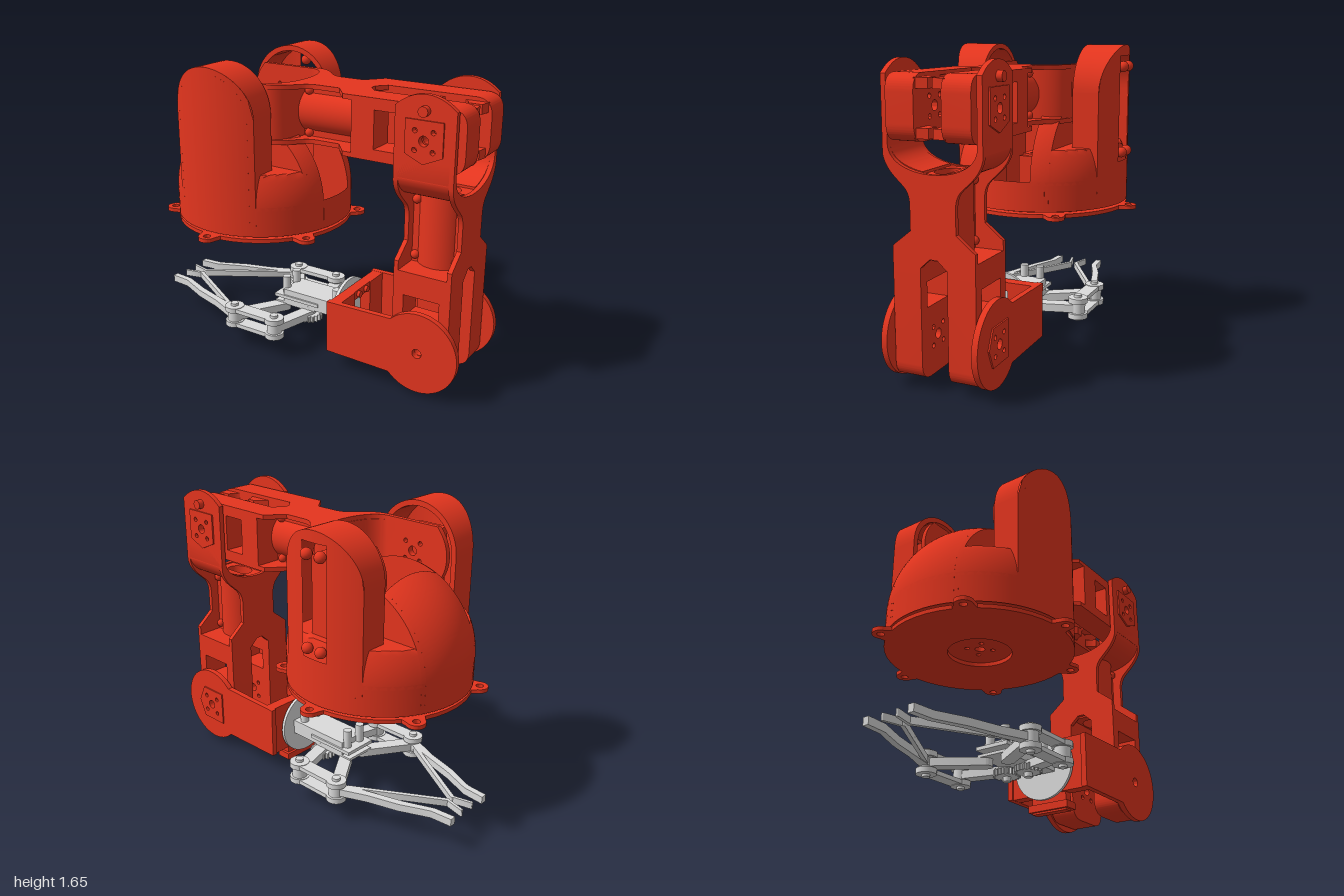
import * as THREE from 'three';
import { toCreasedNormals } from 'three/addons/utils/BufferGeometryUtils.js';
import { ParametricGeometry } from 'three/addons/geometries/ParametricGeometry.js';

const red = new THREE.MeshStandardMaterial({ color: 0xe5351e, side: THREE.DoubleSide });
red.name = 'red plastic';
const gray = new THREE.MeshStandardMaterial({ color: 0xdcdcdc, side: THREE.DoubleSide });
gray.name = 'gray plastic';

function add(parent, name, geo, mat = red, x = 0, y = 0, z = 0) {
  const m = new THREE.Mesh(geo, mat);
  m.name = name;
  m.position.set(x, y, z);
  parent.add(m);
  return m;
}
function group(parent, name, x = 0, y = 0, z = 0) {
  const g = new THREE.Group();
  g.name = name;
  g.position.set(x, y, z);
  parent.add(g);
  return g;
}
const box = (x0, x1, y0, y1, z0, z1) => new THREE.BoxGeometry(x1 - x0, y1 - y0, z1 - z0)
  .translate((x0 + x1) / 2, (y0 + y1) / 2, (z0 + z1) / 2);
const poly = pts => new THREE.Shape(pts.map(p => new THREE.Vector2(...p)));
const rect = (x0, x1, y0, y1) => poly([[x0, y0], [x1, y0], [x1, y1], [x0, y1]]);
const circle = (r, x = 0, y = 0) => new THREE.Shape().absarc(x, y, r, 0, Math.PI * 2);
const ellipse = (rx, ry) => new THREE.Shape().absellipse(0, 0, rx, ry, 0, Math.PI * 2);
const slab = (shape, d) => toCreasedNormals(
  new THREE.ExtrudeGeometry(shape, { depth: d, bevelEnabled: false, curveSegments: 24 }), 0.6);
// shape drawn in (z, y), (x, z) or (x, y), thick along the named axis
const slabX = (shape, x0, x1) => slab(shape, x1 - x0).rotateY(Math.PI / 2).translate(x0, 0, 0);
const slabY = (shape, y0, y1) => slab(shape, y1 - y0).rotateX(Math.PI / 2).translate(0, y1, 0);
const slabZ = (shape, z0, z1) => slab(shape, z1 - z0).translate(0, 0, z0);
const surface = (fn, nu, nv) => toCreasedNormals(
  new ParametricGeometry((u, v, t) => t.set(...fn(u, v)), nu, nv), 0.6);
const rod = (r, h) => new THREE.CylinderGeometry(r, r, h, 24);

// centre hole with four screw holes around it
function hornHoles(shape, x = 0, y = 0) {
  shape.holes.push(circle(0.026, x, y));
  for (let i = 0; i < 4; i++) {
    const a = Math.PI / 4 + i * Math.PI / 2;
    shape.holes.push(circle(0.013, x + 0.068 * Math.cos(a), y + 0.068 * Math.sin(a)));
  }
  return shape;
}
// five-sided servo horn plate, pointing to +x
const hornPlate = () => hornHoles(poly([[-0.1, -0.1], [-0.1, 0.1], [0.07, 0.1], [0.115, 0], [0.07, -0.1]]));

function makeBase(root) {
  const g = group(root, 'base', -0.37);
  const plate = circle(0.5);
  plate.holes.push(circle(0.17));
  add(g, 'basePlate', slabY(plate, 0.72, 0.742));
  add(g, 'baseSpacer', slabY(hornHoles(circle(0.45)), 0.742, 0.76));
  for (let i = 0; i < 6; i++) {
    const ear = new THREE.Shape().absarc(0.53, 0, 0.05, -Math.PI / 2, Math.PI / 2);
    ear.lineTo(0.47, 0.07).lineTo(0.47, -0.07);
    ear.holes.push(circle(0.02, 0.535, 0));
    add(g, 'mountingEar', slabY(ear, 0.72, 0.742)).rotation.y = Math.PI / 6 + i * Math.PI / 3;
  }
  add(g, 'baseWall', new THREE.CylinderGeometry(0.5, 0.5, 0.165, 72, 1, true), red, 0, 0.8375, 0);
  add(g, 'slotFloor', slabY(hornHoles(circle(0.495)), 0.76, 0.8));
  add(g, 'baseServo', slabY(hornHoles(rect(-0.19, 0.105, -0.11, 0.11)), 0.8, 1));
  add(g, 'baseServoHorn', slabY(hornPlate(), 1, 1.012));

  // dome made of strips across z: open well in the middle, narrow slot toward +x
  const A = 0.2, B = 0.22, S = 0.125, X0 = -0.19, X1 = 0.25, Y = 0.9;
  const rad = z => Math.sqrt(Math.max(0, 0.25 - z * z));
  const strip = (z0, z1, cap, xa, xb) => surface((u, v) => {
    const z = z0 + (z1 - z0) * v, r = rad(z);
    const a0 = Math.acos(Math.min(1, xb / r)), a1 = Math.acos(Math.max(-1, xa / r));
    const a = r ? a0 + (a1 - a0) * u : 0;
    return [r * Math.cos(a), Math.min(r * Math.sin(a), cap), z];
  }, 60, 14);
  add(g, 'domeBack', strip(-A, A, 1, -1, X0), red, 0, Y, 0);
  const wellWall = (x, z0, z1) => {
    const r = rad(x), arc = new THREE.Shape().absarc(0, 0, r, Math.acos(z1 / r), Math.acos(z0 / r));
    arc.lineTo(z0, -0.1).lineTo(z1, -0.1);
    add(g, 'wellWall', new THREE.ShapeGeometry(arc, 24).rotateY(-Math.PI / 2), red, x, Y, 0);
  };
  wellWall(X0, -A, A);
  wellWall(X1, S, A);
  wellWall(X1, -A, -S);
  for (const s of [-1, 1]) {
    add(g, 'domeFront', strip(s * S, s * A, 1, X1, 1), red, 0, Y, 0);
    add(g, 'domeRib', strip(s * A, s * B, 1, -1, 1), red, 0, Y, 0);
    add(g, 'domeSide', strip(s * B, s * 0.5, 0.19, -1, 1), red, 0, Y, 0);
    for (const [z, x0] of [[A, -rad(A)], [B, -rad(B)], [S, X1]]) {
      const w = new THREE.Shape().absarc(0, 0, rad(z), 0, Math.acos(x0 / rad(z)));
      w.lineTo(x0, -0.1).lineTo(rad(z), -0.1);
      add(g, 'slotWall', new THREE.ShapeGeometry(w, 40), red, 0, Y, s * z);
    }
    makeTower(g, s);
  }
}

// hollow arched tower whose outer face follows the round base
function makeTower(base, s) {
  const g = group(base, s > 0 ? 'frontTower' : 'rearTower');
  const W = 0.255, C = 1.395, Y0 = 0.76;
  const outer = x => s * Math.sqrt(0.25 - x * x);
  const top = x => C + Math.sqrt(Math.max(0, W * W - x * x));
  const face = (x0, x1, lo, hi) => add(g, 'towerFace', surface((u, v) => {
    const x = x0 + (x1 - x0) * u, y1 = hi || top(x);
    return [x, lo + (y1 - lo) * v, outer(x)];
  }, 24, 6));
  if (s > 0) face(-W, W, Y0);
  else {
    face(-W, -0.08, Y0);
    face(0.08, W, Y0);
    face(-0.08, 0.08, 1.59);
    face(-0.08, 0.08, Y0, 1.0);
    for (const y of [1.05, 1.53]) for (const x of [-0.045, 0.045])
      add(g, 'towerBolt', new THREE.SphereGeometry(0.03, 16, 12), red, x, y, -0.5);
  }
  for (const w of [W, 0.225]) {
    add(g, 'towerRim', surface((u, v) => {
      const a = Math.PI * u, x = w * Math.cos(a);
      return [x, C + w * Math.sin(a), s * 0.28 + (outer(x) - s * 0.28) * v];
    }, 40, 1));
    for (const k of [-w, w]) add(g, 'towerSide', surface((u, v) =>
      [k, Y0 + (C - Y0) * u, s * 0.28 + (outer(k) - s * 0.28) * v], 1, 1));
  }
  const ring = new THREE.Shape().absarc(0, C, W, 0, Math.PI);
  ring.lineTo(-W, 0.9).lineTo(-0.225, 0.9).lineTo(-0.225, C);
  ring.absarc(0, C, 0.225, Math.PI, 0, true).lineTo(0.225, 0.9).lineTo(W, 0.9);
  add(g, 'towerLip', new THREE.ShapeGeometry(ring, 32), red, 0, 0, s * 0.28);
  add(g, 'shoulderServo', box(-0.09, 0.09, 1.08, 1.5, s * 0.365 - 0.055, s * 0.365 + 0.055));
}

// arm link along +x: fork at the origin, hollow servo neck, two prongs with the next pivot at 1.135
function makeLink(root, name, closed) {
  const g = group(root, name), H = 0.16, N = 0.122, P = 0.222;
  const yoke = new THREE.Shape();
  yoke.moveTo(0.1, 0.264).lineTo(0.22, 0.264).bezierCurveTo(0.3, 0.25, 0.34, 0.18, 0.38, 0.145);
  yoke.quadraticCurveTo(0.41, N, 0.46, N).lineTo(0.46, -N).quadraticCurveTo(0.41, -N, 0.38, -0.145);
  yoke.bezierCurveTo(0.34, -0.18, 0.3, -0.25, 0.22, -0.264).lineTo(0.1, -0.264).lineTo(0.1, -0.236);
  yoke.lineTo(0.17, -0.236).bezierCurveTo(0.26, -0.236, 0.305, -0.12, 0.305, 0);
  yoke.bezierCurveTo(0.305, 0.12, 0.26, 0.236, 0.17, 0.236).lineTo(0.1, 0.236);
  const flange = poly([[0.32, N], [0.58, N], [0.66, P], [0.76, P], [0.76, 0.075], [0.71, 0.02],
    [0.71, -0.02], [0.76, -0.075], [0.76, -P], [0.66, -P], [0.58, -N], [0.32, -N]]);
  for (const y0 of [-H, H - 0.025]) {
    add(g, 'yokeFlange', slabY(yoke, y0, y0 + 0.025));
    add(g, 'neckFlange', slabY(flange, y0, y0 + 0.025));
  }
  const core = rect(-0.07, 0.07, -H + 0.02, H - 0.02), tube = ellipse(0.118, 0.125);
  for (const s of [core, tube]) s.holes.push(ellipse(0.062, 0.086));
  add(g, 'neckCore', slabX(core, 0.31, 0.72));
  add(g, 'servoBody', slabX(tube, 0.31, 0.71));

  for (const s of [-1, 1]) {
    const side = group(g, s > 0 ? 'frontHalf' : 'rearHalf');
    side.scale.z = s;
    // thin curved wall between the yoke flanges
    const wall = new THREE.Shape().moveTo(0.1, 0.264).lineTo(0.2, 0.264);
    wall.bezierCurveTo(0.28, 0.25, 0.325, 0.16, 0.33, 0.064).lineTo(0.297, 0.064);
    wall.bezierCurveTo(0.28, 0.16, 0.24, 0.236, 0.17, 0.236).lineTo(0.1, 0.236);
    add(side, 'yokeWall', slabY(wall, -H + 0.025, H - 0.025));
    // fork cheek with its horn
    const cheek = new THREE.Shape().moveTo(0.205, -H).lineTo(0.205, H).lineTo(-0.155, H);
    cheek.bezierCurveTo(-0.19, 0.12, -0.222, 0.07, -0.222, 0);
    cheek.bezierCurveTo(-0.222, -0.07, -0.19, -0.12, -0.155, -H);
    add(side, 'forkCheek', slabZ(hornHoles(cheek), 0.236, 0.264));
    add(side, 'hornPlate', slabZ(hornPlate(), 0.264, 0.273));
    add(side, 'forkScrew', rod(0.026, 0.035).rotateX(Math.PI / 2), red, -0.145, 0, 0.278);
    // servo screws
    for (const x of [0.365, 0.67]) for (const y of [-0.115, 0.115])
      add(side, 'servoScrew', new THREE.SphereGeometry(0.024, 14, 10), red, x, y, 0.075);
    // prong with window and pivot holes
    const prong = new THREE.Shape().moveTo(0.71, -H).lineTo(1.24, -H).quadraticCurveTo(1.33, -H, 1.33, -0.07);
    prong.lineTo(1.33, 0.07).quadraticCurveTo(1.33, H, 1.24, H).lineTo(0.71, H);
    prong.holes.push(rect(0.84, 0.97, -0.1, 0.1));
    add(side, 'prong', slabZ(hornHoles(prong, 1.135, 0), 0.072, P));
    if (closed) {
      const pad = new THREE.Shape().moveTo(0.93, 0.08).lineTo(1.0, 0.012).lineTo(1.045, 0.012);
      pad.absarc(1.135, 0, 0.09, Math.PI - 0.14, 0.14, true);
      pad.lineTo(1.3, 0.012).lineTo(1.31, 0.08);
      for (const y of [-0.14, 0.09]) add(side, 'prongPad', slabY(pad, y, y + 0.05));
    }
  }
  return g;
}

function makeWrist(root) {
  const g = group(root, 'wrist', 0, 0, 0.008), X = 0.773;
  for (const s of [-1, 1]) {
    const p = new THREE.Shape().moveTo(0.225, 0.1).lineTo(0.61, 0.095);
    p.absarc(X, 0.25, 0.224, Math.PI * 1.246, Math.PI * 0.75).lineTo(0.225, 0.4);
    if (s > 0) p.holes.push(circle(0.026, X, 0.25));
    else hornHoles(p, X, 0.25);
    add(g, 'wristCheek', slabZ(p, s * 0.244 - 0.016, s * 0.244 + 0.016));
    add(g, 'wristInnerBlock', box(0.235, 0.3, 0.1, 0.4, s * 0.16 - 0.075, s * 0.16 + 0.075));
    for (const [x, y] of [[0.3, 0.375], [0.325, 0.03]])
      add(g, 'wristScrew', rod(0.018, 0.025).rotateZ(Math.PI / 2), red, x, y, s * 0.04);
  }
  add(g, 'wristHorn', slabZ(hornPlate(), -0.268, -0.26), red, X, 0.25, 0);
  add(g, 'wristTopBar', box(0.235, 0.295, 0.35, 0.4, -0.2, 0.2));
  add(g, 'wristBottomBar', box(0.235, 0.32, 0.01, 0.05, -0.125, 0.125));
  add(g, 'wristBottomTab', box(0.25, 0.3, 0, 0.11, -0.11, 0.11));
}

// rounded bar between two (x, z) points
function bar(g, name, a, b, r, y0, y1) {
  const t = Math.atan2(b[1] - a[1], b[0] - a[0]), q = Math.PI / 2;
  const s = new THREE.Shape().absarc(b[0], b[1], r, t - q, t + q);
  s.absarc(a[0], a[1], r, t + q, t + 3 * q);
  add(g, name, slabY(s, y0, y1), gray);
}

function makeGripper(root) {
  const disc = circle(0.185);
  disc.holes.push(circle(0.034));
  add(root, 'rotaryDisc', slabX(disc, 0, 0.018), gray, 0.2, 0.245, 0.005);
  const g = group(root, 'gripper', 0, 0, -0.008);
  add(g, 'gripperBody', box(-0.19, 0.2, 0.205, 0.29, -0.09, 0.09), gray);
  add(g, 'gripperDeck', box(-0.25, 0.05, 0.235, 0.255, -0.1, 0.1), gray);
  add(g, 'lowerDeck', box(-0.25, 0.02, 0.195, 0.21, -0.09, 0.09), gray);
  const teeth = [];
  for (let i = 0; i < 72; i++) {
    const a = i * Math.PI / 36, r = i % 4 < 2 ? 0.075 : 0.06;
    teeth.push([r * Math.cos(a), r * Math.sin(a)]);
  }
  for (const s of [-1, 1]) {
    const hub = [-0.02, s * 0.07], rear = [-0.2, s * 0.07], elbow = [-0.09, s * 0.33], tip = [-0.37, s * 0.33];
    add(g, 'gear', slabY(poly(teeth), 0.145, 0.18), gray, hub[0], 0, hub[1]);
    add(g, 'gearPin', rod(0.022, 0.1), gray, hub[0], 0.17, hub[1]);
    add(g, 'post', rod(0.024, 0.12), gray, -0.195, 0.3, s * 0.05);
    add(g, 'post', rod(0.024, 0.09), gray, 0.15, 0.315, s * 0.05);
    bar(g, 'driveLink', hub, elbow, 0.036, 0.155, 0.2);
    bar(g, 'followLink', rear, tip, 0.036, 0.155, 0.2);
    for (const y of [0.122, 0.212]) bar(g, 'outerBar', elbow, tip, 0.04, y, y + 0.024);
    for (const p of [elbow, tip]) {
      for (const y of [0.134, 0.224]) add(g, 'pivotCap', rod(0.055, 0.03), gray, p[0], y, p[1]);
      add(g, 'pivot', rod(0.042, 0.1), gray, p[0], 0.18, p[1]);
      add(g, 'pivotPin', rod(0.022, 0.15), gray, p[0], 0.18, p[1]);
    }
    const finger = poly([[-0.36, s * 0.365], [-0.55, s * 0.285], [-0.72, s * 0.235], [-0.88, s * 0.165], [-1, s * 0.155],
      [-1, s * 0.12], [-0.88, s * 0.13], [-0.72, s * 0.195], [-0.55, s * 0.245], [-0.38, s * 0.295]]);
    add(g, 'finger', slabY(finger, 0.158, 0.2), gray);
    bar(g, 'fingerBrace', [-0.42, s * 0.29], [-0.88, s * 0.02], 0.011, 0.162, 0.2);
    bar(g, 'fingerBraceTip', [-0.88, s * 0.02], [-0.985, s * 0.045], 0.008, 0.162, 0.2);
  }
}

export function createModel() {
  const root = new THREE.Group();
  root.name = 'robotArm';
  makeBase(root);
  makeLink(root, 'upperArm', true).position.set(-0.37, 1.385, 0.008);
  const fore = makeLink(root, 'forearm', false);
  fore.position.set(0.767, 1.385, 0.01);
  fore.rotation.z = -Math.PI / 2;
  makeWrist(root);
  makeGripper(root);
  return root;
}
